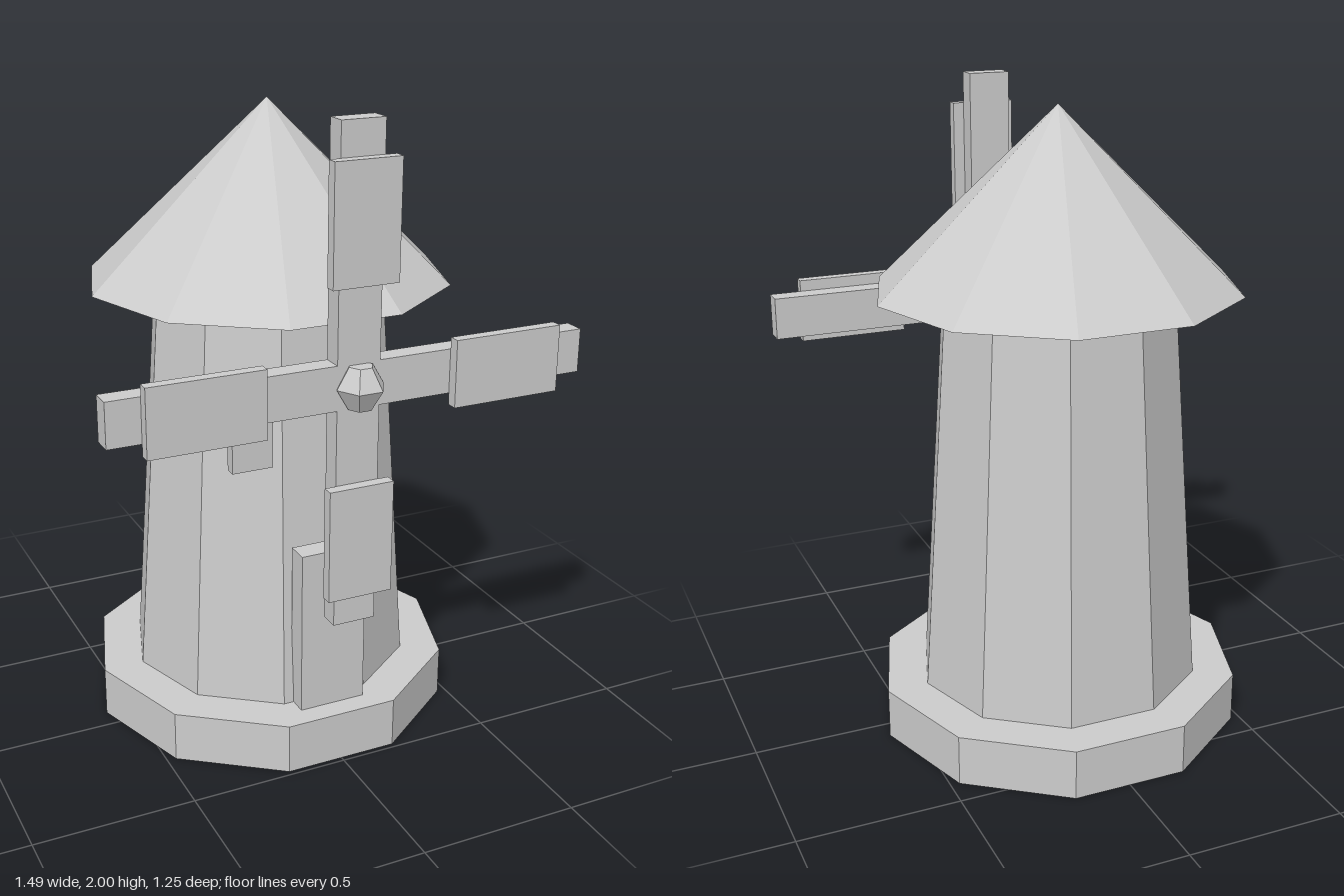
import * as THREE from 'three';

export function createModel() {
  const model = new THREE.Group();
  model.name = 'windmill';
  const stone = new THREE.MeshStandardMaterial({ color: 0xcccccc, flatShading: true });
  stone.name = 'plain grey';
  const axisZ = -0.07; // centre line of the tower

  const add = (name, geometry, x, y, z, parent = model) => {
    const mesh = new THREE.Mesh(geometry, stone);
    mesh.name = name;
    mesh.position.set(x, y, z);
    parent.add(mesh);
    return mesh;
  };

  // Box given by its limits on each axis
  const box = (name, [x0, x1], [y0, y1], [z0, z1], parent) =>
    add(name, new THREE.BoxGeometry(x1 - x0, y1 - y0, z1 - z0),
      (x0 + x1) / 2, (y0 + y1) / 2, (z0 + z1) / 2, parent);

  // Ten-sided drum with a flat side to the front
  const drum = (name, rTop, rBottom, y0, y1) =>
    add(name, new THREE.CylinderGeometry(rTop, rBottom, y1 - y0, 10, 1, false, Math.PI / 10),
      0, (y0 + y1) / 2, axisZ);

  // Building
  drum('base', 0.583, 0.583, 0, 0.16);
  drum('tower', 0.363, 0.452, 0.16, 1.42);
  drum('roof', 0, 0.569, 1.42, 1.97);
  box('door', [-0.107, 0.107], [0.16, 0.687], [0.343, 0.415]);
  box('window', [-0.295, -0.165], [0.957, 1.147], [0.298, 0.333]);

  // Sails: two crossed spars with a panel on each arm
  const sails = new THREE.Group();
  sails.name = 'sails';
  sails.position.set(0, 1.257, 0);
  model.add(sails);
  const sparZ = [0.482, 0.546];
  const panelZ = [0.546, 0.581];
  box('verticalSpar', [-0.067, 0.067], [-0.743, 0.743], sparZ, sails);
  box('horizontalSpar', [-0.743, 0.743], [-0.067, 0.067], sparZ, sails);
  for (let i = 0; i < 4; i++) {
    const arm = new THREE.Group();
    arm.name = 'sailArm';
    arm.rotation.z = i * Math.PI / 2;
    sails.add(arm);
    box('sailPanel', [0.295, 0.643], [-0.102, 0.102], panelZ, arm);
  }

  // Faceted six-sided hub
  const profile = [[0, -0.063], [0.037, -0.063], [0.074, 0], [0.037, 0.063], [0, 0.063]]
    .map(([r, y]) => new THREE.Vector2(r, y));
  add('hub', new THREE.LatheGeometry(profile, 6, Math.PI / 6), 0, 0, 0.557, sails);

  return model;
}
